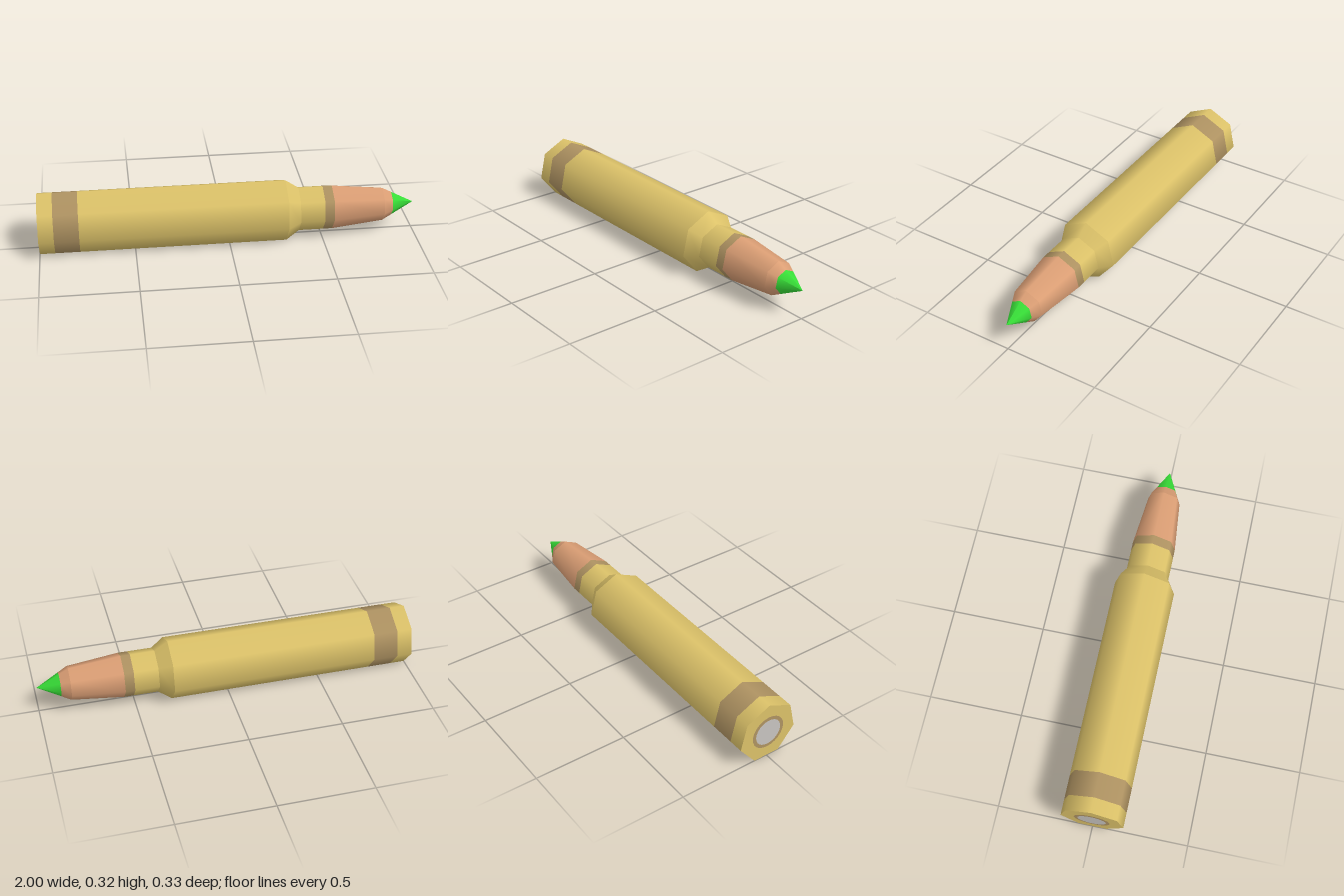
import * as THREE from 'three';

const AXIS_Y = 0.151; // height of the long axis
const SIDES = 7;

const mat = (name, color) => {
  const m = new THREE.MeshStandardMaterial({ color });
  m.name = name;
  return m;
};

export function createModel() {
  const group = new THREE.Group();
  group.name = 'cartridge';

  const brass = mat('brass', 0xdcc269);
  const brown = mat('dull brown', 0xaf9362);
  const copper = mat('copper', 0xdc9f75);
  const green = mat('green', 0x38e038);
  const steel = mat('steel', 0xc8c4c0);

  const add = (name, geometry, material) => {
    const mesh = new THREE.Mesh(geometry, material);
    mesh.name = name;
    mesh.position.y = AXIS_Y;
    group.add(mesh);
  };

  // Seven-sided sleeve along x, with one corner pointing up
  const sleeve = (name, x0, r0, x1, r1, material) => {
    const g = new THREE.CylinderGeometry(r1, r0, x1 - x0, SIDES, 1, true, -Math.PI / 2);
    g.rotateZ(-Math.PI / 2);
    g.translate((x0 + x1) / 2, 0, 0);
    add(name, g, material);
  };

  // Flat disc facing -x
  const disc = (name, x, r, sides, material) => {
    const g = new THREE.CircleGeometry(r, sides, Math.PI / 2);
    g.rotateY(-Math.PI / 2);
    g.translate(x, 0, 0);
    add(name, g, material);
  };

  // Casing
  sleeve('caseRim', -1, 0.1675, -0.92, 0.1675, brass);
  sleeve('extractorBand', -0.92, 0.1675, -0.79, 0.1675, brown);
  sleeve('caseBody', -0.79, 0.1675, 0.305, 0.1675, brass);
  sleeve('shoulder', 0.305, 0.1675, 0.375, 0.12, brass);
  sleeve('neck', 0.375, 0.12, 0.505, 0.12, brass);
  sleeve('mouthBand', 0.505, 0.12, 0.555, 0.12, brown);

  // Bullet
  sleeve('bulletBody', 0.555, 0.12, 0.83, 0.091, copper);
  sleeve('bulletNose', 0.83, 0.091, 0.88, 0.064, copper);
  sleeve('bulletTip', 0.88, 0.064, 1, 0, green);

  // Base with primer
  disc('base', -1, 0.1675, SIDES, brass);
  disc('primerRing', -1.001, 0.093, 24, brown);
  disc('primer', -1.002, 0.074, 24, steel);

  return group;
}
